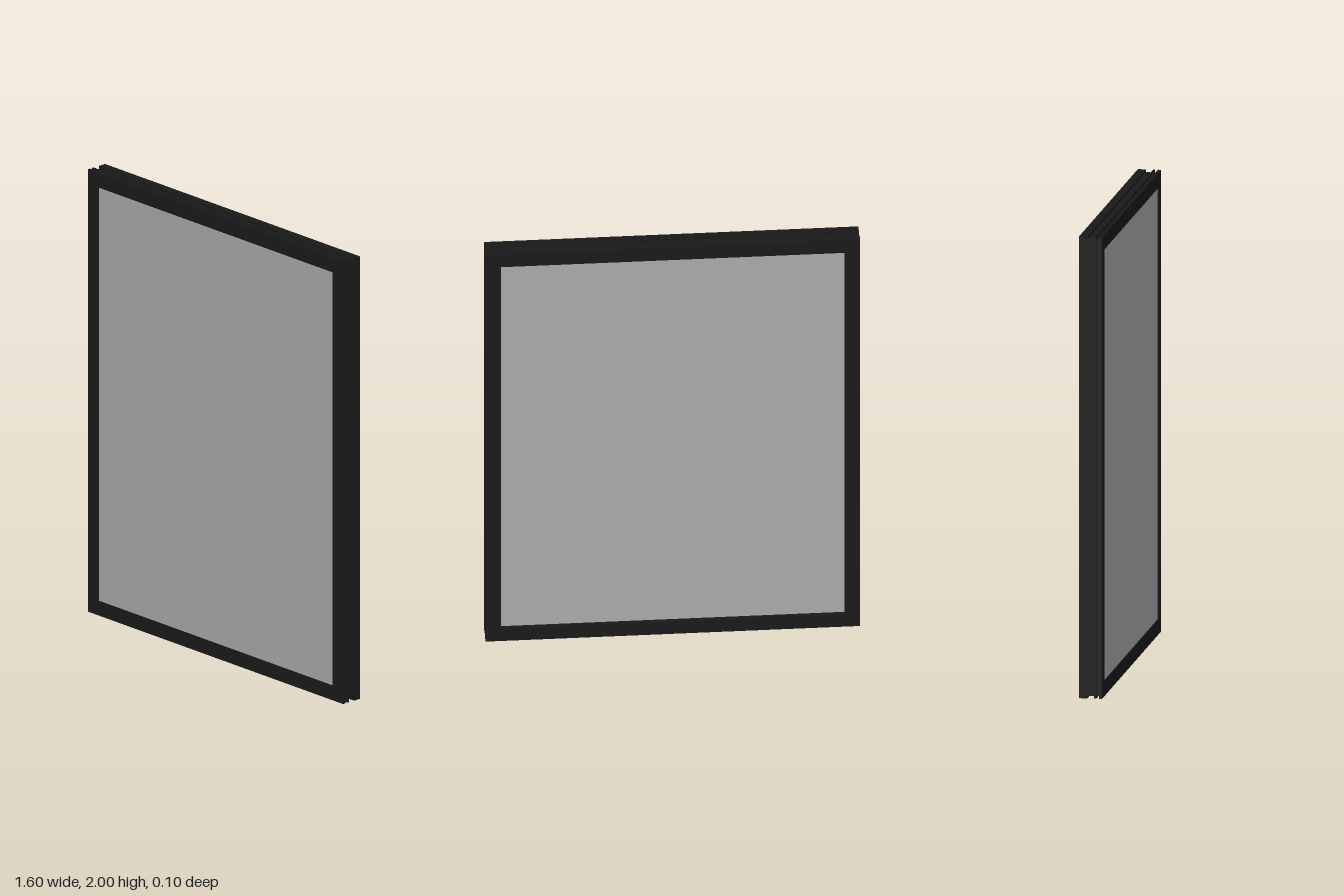
import * as THREE from 'three';

const HALF_W = 0.8, HEIGHT = 2, BORDER = 0.065, HALF_D = 0.05;

// Frame cross-section as [inset from the outer edge, z], with two grooves round the outside
const PROFILE = [
  [0, HALF_D], [0, 0.036], [0.01, 0.036], [0.01, 0.024],
  [0, 0.024], [0, 0.016], [0.01, 0.016], [0.01, -0.014],
  [0, -0.014], [0, -HALF_D], [BORDER, -HALF_D], [BORDER, HALF_D],
];

// Sweep a closed cross-section round a rectangle with mitred corners
function mitredFrame(profile) {
  const corners = [[-1, -1], [1, -1], [1, 1], [-1, 1]];
  const at = (c, p) => {
    const [sx, sy] = corners[c % 4];
    const [inset, z] = profile[p % profile.length];
    return [sx * (HALF_W - inset), HEIGHT / 2 + sy * (HEIGHT / 2 - inset), z];
  };
  const pos = [];
  for (let c = 0; c < 4; c++) {
    for (let p = 0; p < profile.length; p++) {
      const a = at(c, p), b = at(c, p + 1), d = at(c + 1, p + 1), e = at(c + 1, p);
      pos.push(...a, ...b, ...d, ...a, ...d, ...e);
    }
  }
  const geo = new THREE.BufferGeometry();
  geo.setAttribute('position', new THREE.Float32BufferAttribute(pos, 3));
  geo.computeVertexNormals();
  return geo;
}

export function createModel() {
  const group = new THREE.Group();
  group.name = 'framedPanel';

  // Dark grooved frame
  const frame = new THREE.Mesh(
    mitredFrame(PROFILE),
    new THREE.MeshStandardMaterial({ color: 0x1a1a1a })
  );
  frame.name = 'frame';
  group.add(frame);

  // Glass unit: almost flush at the front, recessed at the back
  const front = 0.045, back = -0.033;
  const glass = new THREE.Mesh(
    new THREE.BoxGeometry(2 * (HALF_W - BORDER), HEIGHT - 2 * BORDER, front - back),
    new THREE.MeshStandardMaterial({ color: 0xaaaaaa })
  );
  glass.name = 'glassPane';
  glass.position.set(0, HEIGHT / 2, (front + back) / 2);
  group.add(glass);

  return group;
}
